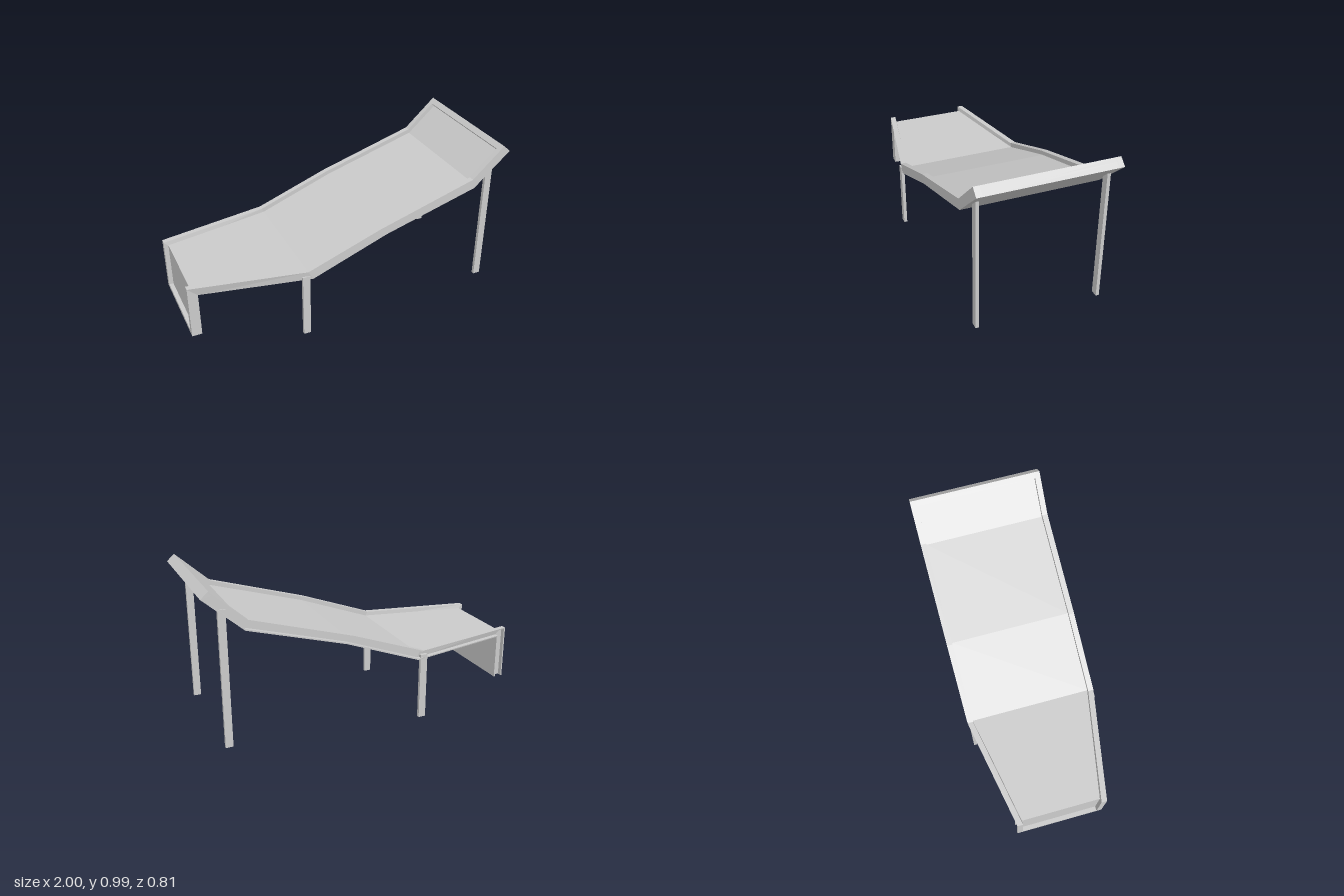
import * as THREE from 'three';

const material = new THREE.MeshStandardMaterial({ color: 0xcccccc, flatShading: true, side: THREE.DoubleSide });

// Folded profile from head to foot: top point, bottom point, half width
const stations = [
  { t: [0.955, 0.985], b: [1.0, 0.945], w: 0.406 },
  { t: [0.755, 0.803], b: [0.77, 0.743], w: 0.406 },
  { t: [0.14, 0.615], b: [0.18, 0.57], w: 0.406 },
  { t: [-0.32, 0.445], b: [-0.29, 0.39], w: 0.404 },
  { t: [-1.0, 0.445], b: [-0.94, 0.39], w: 0.275 },
  { t: [-1.0, 0.11], b: [-0.94, 0.11], w: 0.275 },
];

const mix = (p, q, k) => p + (q - p) * k;
const mixPoint = (p, q, k) => [mix(p[0], q[0], k), mix(p[1], q[1], k)];
const between = (s, e, k) => ({ t: mixPoint(s.t, e.t, k), b: mixPoint(s.b, e.b, k), w: mix(s.w, e.w, k) });

// Sweeps a four-sided section along the profile.
// v0..v1 is the share of the thickness (0 bottom, 1 top); z0, z1 give the sides from the half width.
function sweep(name, path, v0, v1, z0, z1) {
  const rings = path.map((s) => {
    const lo = mixPoint(s.b, s.t, v0), hi = mixPoint(s.b, s.t, v1);
    return [[...hi, z0(s.w)], [...hi, z1(s.w)], [...lo, z1(s.w)], [...lo, z0(s.w)]];
  });
  const pos = [];
  const quad = (a, b, c, d) => pos.push(...a, ...b, ...c, ...a, ...c, ...d);
  for (let i = 0; i < rings.length - 1; i++) {
    const a = rings[i], b = rings[i + 1];
    for (let j = 0; j < 4; j++) {
      const k = (j + 1) % 4;
      quad(a[j], b[j], b[k], a[k]);
    }
  }
  const last = rings[rings.length - 1];
  quad(...rings[0]);
  quad(last[3], last[2], last[1], last[0]);
  const g = new THREE.BufferGeometry();
  g.setAttribute('position', new THREE.Float32BufferAttribute(pos, 3));
  g.computeVertexNormals();
  const mesh = new THREE.Mesh(g, material);
  mesh.name = name;
  return mesh;
}

function leg(name, x0, x1, y0, y1, z) {
  const mesh = new THREE.Mesh(new THREE.BoxGeometry(x1 - x0, y1 - y0, 0.02), material);
  mesh.position.set((x0 + x1) / 2, (y0 + y1) / 2, z);
  mesh.name = name;
  return mesh;
}

export function createModel() {
  const model = new THREE.Group();
  model.name = 'lounger';
  const rim = 0.034, wall = 0.006;
  const inL = (w) => w - rim, outL = (w) => w;
  const inR = (w) => -w + rim, outR = (w) => -w;

  // Recessed bed folding down into the foot panel
  model.add(sweep('bed', stations, 0, 0.55, inR, inL));

  // Solid front rail, and back rail as a channel open to the outside
  model.add(sweep('frontRail', stations, 0, 1, inL, outL));
  const channel = new THREE.Group();
  channel.name = 'backRail';
  channel.add(
    sweep('railWeb', stations, 0, 1, (w) => -w + rim - wall, inR),
    sweep('railTopFlange', stations, 0.87, 1, outR, inR),
    sweep('railBottomFlange', stations, 0, 0.13, outR, inR),
  );
  model.add(channel);

  // Rims across the two ends
  const n = stations.length;
  const headPath = [stations[0], between(stations[0], stations[1], 0.14)];
  const footPath = [between(stations[n - 1], stations[n - 2], 0.07), stations[n - 1]];
  model.add(sweep('headRim', headPath, 0, 1, outR, inL));
  model.add(sweep('footRim', footPath, 0, 1, inR, inL));

  // Short legs at the bend, long legs under the head
  for (const z of [0.395, -0.385]) model.add(leg('shortLeg', -0.355, -0.31, 0, 0.415, z));
  for (const z of [0.365, -0.375]) model.add(leg('longLeg', 0.866, 0.91, 0.06, 0.87, z));
  return model;
}
